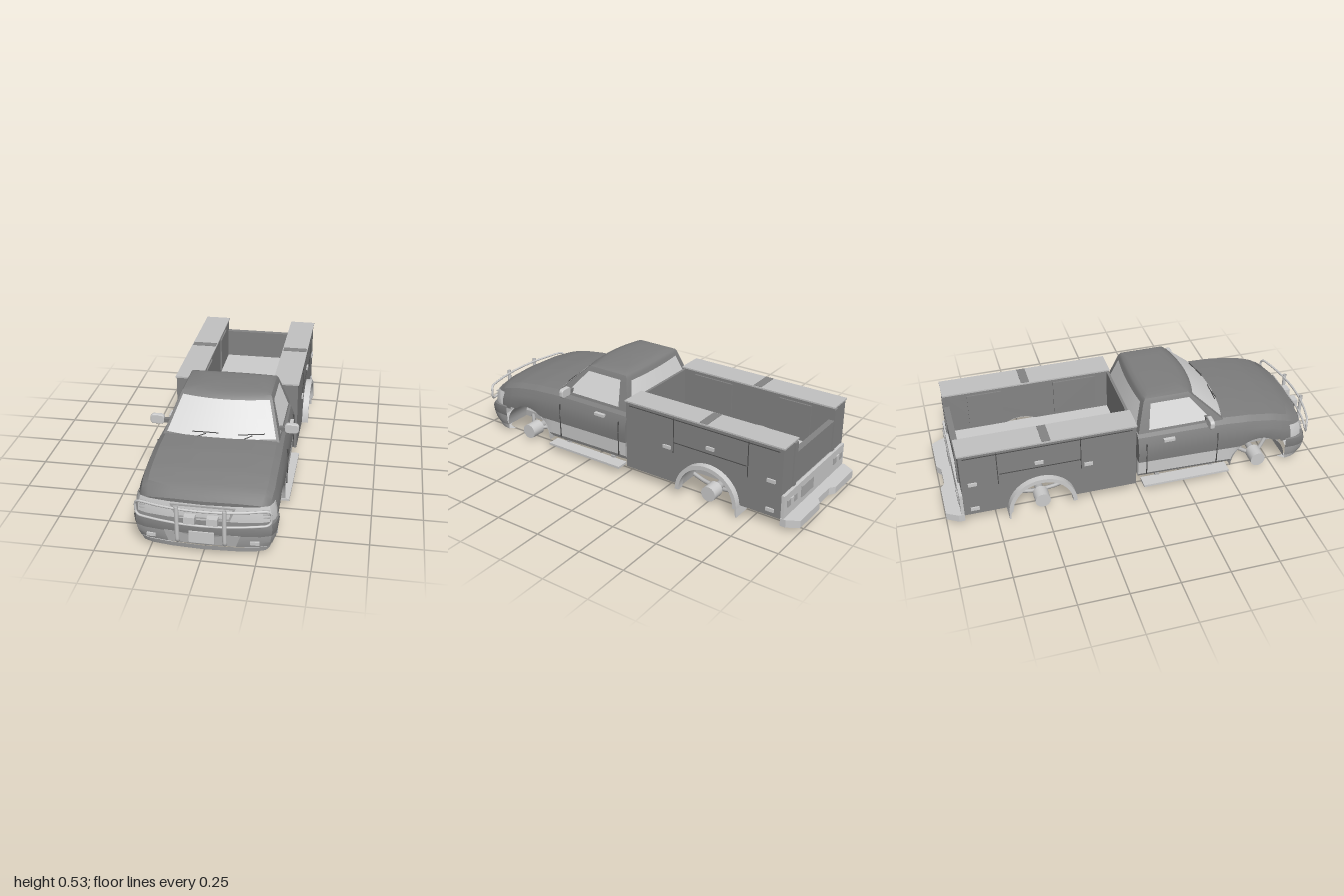
import * as THREE from 'three';
import { toCreasedNormals } from 'three/addons/utils/BufferGeometryUtils.js';

const material = (name, color) => {
  const m = new THREE.MeshStandardMaterial({ color, side: THREE.DoubleSide });
  m.name = name;
  return m;
};

export function createModel() {
  const model = new THREE.Group();
  model.name = 'utilityTruck';
  const paint = material('cabPaint', 0x7e7e7e);
  const steel = material('serviceBodyPaint', 0x848484);
  const trim = material('lightTrim', 0xcccccc);
  const glass = material('glass', 0xd8d8d8);
  const lidMat = material('lidGrey', 0xc2c2c2);
  const chassis = material('chassisGrey', 0xb4b4b4);
  const seam = material('seamDark', 0x4c4c4c);
  const bumperMat = material('bumperGrey', 0xacacac);

  // ---- helpers ----
  const add = (name, geo, mat) => {
    const m = new THREE.Mesh(geo, mat);
    m.name = name;
    model.add(m);
    return m;
  };
  const box = (name, mat, [x0, x1], [y0, y1], [z0, z1]) => {
    const g = new THREE.BoxGeometry(Math.abs(x1 - x0), Math.abs(y1 - y0), Math.abs(z1 - z0));
    return add(name, g.translate((x0 + x1) / 2, (y0 + y1) / 2, (z0 + z1) / 2), mat);
  };
  const both = (fn) => [1, -1].forEach(fn);
  const grid = (rows, crease = 0.6) => {
    const n = rows[0].length, idx = [];
    for (let i = 0; i < rows.length - 1; i++) for (let j = 0; j < n - 1; j++) {
      const a = i * n + j, b = a + n;
      idx.push(a, a + 1, b, b, a + 1, b + 1);
    }
    const g = new THREE.BufferGeometry();
    g.setAttribute('position', new THREE.Float32BufferAttribute(rows.flat(2), 3));
    g.setIndex(idx);
    return toCreasedNormals(g, crease);
  };
  const table = (t, z) => {
    let i = 0;
    while (i < t.length - 2 && z > t[i + 1][0]) i++;
    const k = THREE.MathUtils.clamp((z - t[i][0]) / (t[i + 1][0] - t[i][0]), 0, 1);
    return t[i][1] + (t[i + 1][1] - t[i][1]) * k;
  };
  const bow = ([x, y, z]) => [x, y, z - 0.35 * x * x * THREE.MathUtils.clamp((z - 0.7) / 0.22, 0, 1)];
  const mirrorRow = (half, z) => [
    ...half.map(([x, y]) => bow([x, y, z])),
    ...half.slice(0, -1).reverse().map(([x, y]) => bow([-x, y, z]))];
  const tube = (name, pts, r, mat, closed = false) => add(name, new THREE.TubeGeometry(
    new THREE.CatmullRomCurve3(pts.map(p => new THREE.Vector3(...p)), closed, 'catmullrom', 0.3), pts.length * 6, r, 8, closed), mat);
  const rod = (name, x0, x1, y, z, r, mat) =>
    add(name, new THREE.CylinderGeometry(r, r, Math.abs(x1 - x0), 18).rotateZ(Math.PI / 2).translate((x0 + x1) / 2, y, z), mat);
  const extrudeX = (shape, x0, x1) =>
    new THREE.ExtrudeGeometry(shape, { depth: x1 - x0, bevelEnabled: false, curveSegments: 20 })
      .rotateY(-Math.PI / 2).translate(x1, 0, 0);
  const archLiner = (zc, yc, r, x0, x1) => grid([x0, x1].map(x =>
    Array.from({ length: 19 }, (_, i) => [x, yc + r * Math.sin(i * Math.PI / 18), zc + r * Math.cos(i * Math.PI / 18)])));

  // ---- cab lower body: sections along z that follow the wheel arch ----
  const W = z => table([[0, 0.312], [0.3, 0.32], [0.55, 0.328], [0.8, 0.328], [0.87, 0.322], [0.925, 0.308]], z);
  const T = z => table([[0, 0.352], [0.46, 0.357], [0.6, 0.349], [0.75, 0.328], [0.86, 0.3], [0.925, 0.264]], z);
  const arch = Array.from({ length: 17 }, (_, i) => {
    const a = i * Math.PI / 16;
    return [0.655 - 0.15 * Math.cos(a), Math.max(0.07, 0.06 + 0.152 * Math.sin(a))];
  });
  const stations = [[0, 0.07], [0.15, 0.07], [0.3, 0.07], [0.42, 0.07], [0.48, 0.07], ...arch,
    [0.84, 0.165], [0.87, 0.165], [0.9, 0.165], [0.925, 0.17]];
  const upper = stations.map(([z, b]) => {
    const lo = Math.max(b, z > 0.8 ? 0.165 : 0.18), w = W(z), t = T(z);
    return mirrorRow([[w, lo], [w + 0.003, (lo + t - 0.07) / 2], [w - 0.004, t - 0.07], [w - 0.02, t - 0.03],
      [w - 0.05, t - 0.008], [w * 0.5, t + 0.003], [0, t + 0.005]], z);
  });
  upper.unshift(upper[0].map(() => [0, 0.18, 0]));
  upper.push(upper[1].map(() => [0, 0.17, 0.925]));
  add('cabBody', grid(upper, 0.5), paint);
  const sill = stations.filter(([z]) => z < 0.57);
  both(s => add('cabSill', grid(sill.map(([z, b]) => {
    const lo = Math.min(b, 0.18), w = W(z);
    return [[w - 0.03, lo], [w - 0.003, lo + (0.18 - lo) * 0.3], [w, 0.18]].map(([x, y]) => [s * x, y, z]);
  })), trim));
  box('cabFloor', chassis, [-0.285, 0.285], [0.075, 0.18], [0.001, 0.5]);
  box('engineBay', chassis, [-0.19, 0.19], [0.12, 0.27], [0.48, 0.86]);
  both(s => add('frontArchLiner', archLiner(0.655, 0.06, 0.153, s * 0.18, s * 0.327), chassis));

  // ---- cab roof and pillars: stacked rings ----
  const ring = (y, xf, zf, xr, zr, b) => {
    const pts = [];
    for (let i = 0; i <= 12; i++) { const u = 1 - i / 6; pts.push([xf * u, y, zf + b * (1 - u * u)]); }
    for (let i = 0; i <= 12; i++) { const u = -1 + i / 6; pts.push([xr * u, y, zr - 0.008 * (1 - u * u)]); }
    return [...pts, pts[0]];
  };
  add('cabRoof', grid([ring(0.345, 0.287, 0.46, 0.287, 0.004, 0.04), ring(0.497, 0.23, 0.3, 0.23, 0.045, 0.035),
    ring(0.512, 0.222, 0.285, 0.222, 0.055, 0.035), ring(0.52, 0.2, 0.26, 0.2, 0.075, 0.03),
    ring(0.524, 0.14, 0.23, 0.14, 0.1, 0.02), ring(0.526, 0, 0.18, 0, 0.18, 0)], 0.7), paint);

  // ---- glass ----
  const lerp = THREE.MathUtils.lerp;
  const level = y => (y - 0.345) / 0.152;
  const screenZ = (x, y) => {
    const k = level(y), xf = lerp(0.287, 0.23, k);
    return lerp(0.46, 0.3, k) + lerp(0.04, 0.035, k) * (1 - (x / xf) ** 2) + 0.004;
  };
  add('windscreen', grid([0.358, 0.43, 0.496].map(y => Array.from({ length: 17 }, (_, i) => {
    const x = (i / 8 - 1) * lerp(0.274, 0.217, level(y));
    return [x, y, screenZ(x, y)];
  }))), glass);
  const sideX = y => lerp(0.287, 0.23, level(y)) + 0.003;
  both(s => add('sideWindow', grid([[0.36, 0.395, 0.06], [0.488, 0.285, 0.08]].map(([y, zf, zr]) =>
    [[s * sideX(y), y, zf], [s * sideX(y), y, zr]])), glass));
  add('rearWindow', grid([[0.368, 0.245, 0], [0.484, 0.2, 0.032]].map(([y, w, z]) =>
    Array.from({ length: 9 }, (_, i) => { const u = i / 4 - 1; return [u * w, y, z - 0.008 * (1 - u * u) + 0.004 * u * u]; }))), glass);
  [-0.14, 0.085].forEach(x0 => {
    const p = (x, y) => [x, y, screenZ(x, y) + 0.004];
    tube('wiperBlade', [p(x0, 0.374), p(x0 + 0.06, 0.377), p(x0 + 0.13, 0.378)], 0.0025, seam);
    tube('wiperArm', [p(x0 + 0.03, 0.36), p(x0 + 0.07, 0.373)], 0.0025, seam);
  });

  // ---- doors, handles, mirrors, side steps ----
  both(s => {
    [0.04, 0.42].forEach(z => box('doorSeam', seam, [s * (W(z) - 0.006), s * (W(z) + 0.003)], [0.1, 0.29], [z, z + 0.004]));
    box('doorHandle', trim, [s * 0.305, s * 0.323], [0.293, 0.308], [0.13, 0.19]);
    box('mirrorArm', paint, [s * 0.268, s * 0.31], [0.365, 0.385], [0.36, 0.38]);
    const m = add('mirror', new THREE.ExtrudeGeometry(roundRect(0.06, 0.04), {
      depth: 0.014, bevelSize: 0.005, bevelThickness: 0.005, bevelSegments: 3 }), trim);
    m.position.set(s * 0.336, 0.38, 0.363);
    box('sideStep', trim, [s * 0.275, s * 0.345], [0.038, 0.05], [0.02, 0.49]);
    [0.1, 0.4].forEach(z => box('stepBracket', chassis, [s * 0.14, s * 0.28], [0.045, 0.06], [z, z + 0.02]));
  });

  // ---- nose: bands wrapped round the front ----
  const wrap = rows => grid(rows.map(([y, w, zf, zb]) => {
    const half = [[w, zb], [w, zf - 0.1], [w * 0.985, zf - 0.07], [w * 0.94, zf - 0.04],
      [w * 0.8, zf - 0.022], [w * 0.5, zf - 0.008], [0, zf]];
    return [...half, ...half.slice(0, -1).reverse().map(([x, z]) => [-x, z])].map(([x, z]) => [x, y, z]);
  }), 0.7);
  add('headlightBand', wrap([[0.254, 0.316, 0.929, 0.86], [0.215, 0.326, 0.936, 0.855], [0.178, 0.328, 0.938, 0.85]]), trim);
  add('bumperTop', wrap([[0.178, 0.32, 0.92, 0.81], [0.172, 0.332, 0.955, 0.81], [0.15, 0.335, 0.963, 0.81], [0.118, 0.331, 0.962, 0.81]]), paint);
  add('bumperLower', wrap([[0.118, 0.331, 0.962, 0.81], [0.08, 0.325, 0.955, 0.815], [0.052, 0.315, 0.945, 0.82]]), bumperMat);
  add('bumperSkirt', wrap([[0.052, 0.31, 0.95, 0.82], [0.02, 0.302, 0.935, 0.83], [0.016, 0.27, 0.9, 0.83]]), trim);
  const plate = (name, pts, z, mat, hole) => {
    const s = new THREE.Shape(pts.map(p => new THREE.Vector2(...p)));
    if (hole) s.holes.push(new THREE.Path(hole.map(p => new THREE.Vector2(...p))));
    add(name, new THREE.ExtrudeGeometry(s, { depth: 0.006, bevelEnabled: false }).translate(0, 0, z), mat);
  };
  plate('grilleFrame', [[-0.15, 0.252], [-0.125, 0.186], [0.125, 0.186], [0.15, 0.252]], 0.932, bumperMat,
    [[-0.138, 0.245], [-0.118, 0.193], [0.118, 0.193], [0.138, 0.245]]);
  plate('bumperIntake', [[-0.175, 0.122], [-0.155, 0.066], [0.155, 0.066], [0.175, 0.122]], 0.951, bumperMat);
  box('numberPlate', trim, [-0.058, 0.058], [0.078, 0.136], [0.965, 0.972]);
  both(s => {
    box('fogLamp', trim, [s * 0.218, s * 0.26], [0.074, 0.09], [0.92, 0.946]);
    for (let i = 0; i < 3; i++)
      box('headlightRib', bumperMat, [s * 0.27, s * 0.3], [0.2 + i * 0.016, 0.203 + i * 0.016], [0.89, 0.91]);
  });

  // ---- bull bar ----
  const barZ = x => 0.988 - 0.55 * x * x;
  const xs = [-0.29, -0.2, -0.1, 0, 0.1, 0.2, 0.29];
  tube('bullBarHoop', [...xs.map(x => [x, 0.256, barZ(x)]), [0.31, 0.24, 0.932], [0.31, 0.195, 0.932],
    ...[...xs].reverse().map(x => [x, 0.18, barZ(x)]), [-0.31, 0.195, 0.932], [-0.31, 0.24, 0.932]], 0.006, trim, true);
  both(s => {
    tube('bullBarUpright', [[s * 0.108, 0.08, 0.965], [s * 0.108, 0.1, 0.985], [s * 0.108, 0.18, 0.989], [s * 0.108, 0.27, 0.989]], 0.01, trim);
    box('drivingLamp', trim, [s * 0.027, s * 0.077], [0.185, 0.22], [0.955, 0.99]);
  });

  // ---- service body ----
  const side = new THREE.Shape();
  side.moveTo(-0.02, 0.06).lineTo(-0.02, 0.43).lineTo(-0.91, 0.43).lineTo(-0.91, 0.06).lineTo(-0.675, 0.06);
  side.absarc(-0.515, 0.06, 0.16, Math.PI, 0, true);
  const flare = new THREE.Shape();
  flare.absarc(-0.515, 0.05, 0.176, 0, Math.PI, false);
  flare.absarc(-0.515, 0.05, 0.155, Math.PI, 0, true);
  both(s => {
    const span = (a, b) => (s > 0 ? [a, b] : [-b, -a]);
    add('sideLocker', extrudeX(side, ...span(0.195, 0.325)), steel);
    add('rearFlare', toCreasedNormals(extrudeX(flare, ...span(0.32, 0.358)), 0.5), trim);
    add('rearArchLiner', archLiner(-0.515, 0.06, 0.157, s * 0.196, s * 0.325), chassis);
    box('lockerLid', lidMat, [s * 0.19, s * 0.33], [0.428, 0.436], [-0.016, -0.916]);
    box('lidBand', steel, [s * 0.195, s * 0.326], [0.434, 0.438], [-0.455, -0.5]);
    // door outlines, inner panels and latches
    [-0.305, -0.725].forEach(z => box('lockerSeam', seam, [s * 0.32, s * 0.327], [0.225, 0.415], [z, z - 0.004]));
    [[0.282, -0.31, -0.72], [0.408, -0.04, -0.89]].forEach(([y, a, b]) =>
      box('lockerSeam', seam, [s * 0.32, s * 0.327], [y, y + 0.004], [a, b]));
    [[-0.27, 0.25], [-0.52, 0.315], [-0.855, 0.25], [-0.855, 0.095]].forEach(([z, y]) =>
      box('lockerLatch', trim, [s * 0.32, s * 0.333], [y - 0.009, y + 0.009], [z - 0.022, z + 0.022]));
    [[-0.1, -0.33], [-0.61, -0.79]].forEach(([a, b]) => box('innerDoor', steel, [s * 0.187, s * 0.196], [0.22, 0.41], [a, b]));
    // mud flap
    const flap = box('mudFlap', trim, [s * 0.235, s * 0.35], [-0.05, 0.05], [-0.004, 0.004]);
    flap.position.set(0, 0.051, -0.682);
    flap.rotation.x = 0.1;
    // tail lamps and rear corner posts
    for (let i = 0; i < 3; i++)
      box('tailLamp', i === 1 ? trim : bumperMat, [s * (0.2 + i * 0.033), s * (0.228 + i * 0.033)], [0.115, 0.15], [-0.925, -0.932]);
    box('tailgatePost', steel, [s * 0.195, s * 0.225], [0.19, 0.42], [-0.905, -0.918]);
  });
  box('bedFloor', trim, [-0.2, 0.2], [0.155, 0.2], [-0.02, -0.91]);
  box('bulkhead', steel, [-0.2, 0.2], [0.09, 0.42], [-0.018, -0.032]);
  box('tailgate', steel, [-0.197, 0.197], [0.19, 0.35], [-0.895, -0.91]);
  box('tailgateRail', steel, [-0.197, 0.197], [0.345, 0.362], [-0.885, -0.916]);
  box('rearPanel', trim, [-0.322, 0.322], [0.06, 0.185], [-0.905, -0.926]);
  box('rearPlate', bumperMat, [0.03, 0.15], [0.1, 0.16], [-0.925, -0.933]);
  const bumper = new THREE.Shape([[-0.325, 0.91], [0.325, 0.91], [0.325, 0.94], [0.29, 1], [0.09, 1], [0.06, 0.978],
    [-0.06, 0.978], [-0.09, 1], [-0.29, 1], [-0.325, 0.94]].map(p => new THREE.Vector2(...p)));
  add('rearBumper', new THREE.ExtrudeGeometry(bumper, { depth: 0.04, bevelEnabled: false })
    .rotateX(-Math.PI / 2).translate(0, 0.025, 0), trim);

  // ---- chassis and running gear ----
  both(s => {
    box('frameRail', chassis, [s * 0.13, s * 0.155], [0.045, 0.08], [0.84, -0.9]);
    box('bedMount', chassis, [s * 0.12, s * 0.165], [0.08, 0.156], [-0.03, -0.9]);
    tube('leafSpring', [[s * 0.21, 0.085, -0.32], [s * 0.21, 0.05, -0.42], [s * 0.21, 0.038, -0.515],
      [s * 0.21, 0.05, -0.6], [s * 0.21, 0.085, -0.7]], 0.011, chassis);
    rod('rearHub', s * 0.25, s * 0.32, 0.055, -0.51, 0.04, trim);
    rod('frontHub', s * 0.23, s * 0.31, 0.05, 0.67, 0.04, trim);
    tube('torsionArm', [[s * 0.15, 0.06, 0.78], [s * 0.25, 0.05, 0.67], [s * 0.15, 0.06, 0.56]], 0.011, chassis);
    rod('suspensionPivot', s * 0.13, s * 0.19, 0.06, 0.56, 0.02, chassis);
  });
  [0.8, 0.5, 0.2, -0.05, -0.3, -0.62, -0.86].forEach(z => box('crossMember', chassis, [-0.13, 0.13], [0.05, 0.075], [z, z - 0.03]));
  rod('rearAxle', -0.27, 0.27, 0.055, -0.51, 0.022, chassis);
  rod('frontAxle', -0.25, 0.25, 0.05, 0.67, 0.018, chassis);
  add('differential', new THREE.SphereGeometry(0.048, 18, 12).translate(0, 0.06, -0.51), chassis);
  add('gearbox', new THREE.CylinderGeometry(0.065, 0.045, 0.32, 16).rotateX(Math.PI / 2).translate(0, 0.085, 0.42), chassis);
  add('oilPan', new THREE.SphereGeometry(0.06, 16, 10).scale(1, 0.9, 1.8).translate(0, 0.075, 0.68), chassis);
  tube('driveShaft', [[0, 0.075, 0.28], [0, 0.065, -0.1], [0, 0.06, -0.48]], 0.014, chassis);
  tube('exhaust', [[-0.08, 0.06, 0.55], [-0.09, 0.04, 0.2], [-0.09, 0.055, -0.3], [-0.1, 0.1, -0.52], [-0.2, 0.06, -0.75], [-0.22, 0.05, -0.88]], 0.011, chassis);
  add('muffler', new THREE.CylinderGeometry(0.032, 0.032, 0.2, 16).rotateX(Math.PI / 2).translate(-0.09, 0.05, 0.02), chassis);
  box('fuelTank', chassis, [0.03, 0.125], [0.045, 0.12], [-0.07, -0.3]);
  return model;
}

// rounded outline for the mirror housings
function roundRect(w, h) {
  const s = new THREE.Shape(), r = 0.012, x = w / 2, y = h / 2;
  s.absarc(x - r, y - r, r, 0, Math.PI / 2, false);
  s.absarc(-x + r, y - r, r, Math.PI / 2, Math.PI, false);
  s.absarc(-x + r, -y + r, r, Math.PI, 1.5 * Math.PI, false);
  s.absarc(x - r, -y + r, r, 1.5 * Math.PI, 2 * Math.PI, false);
  return s;
}
